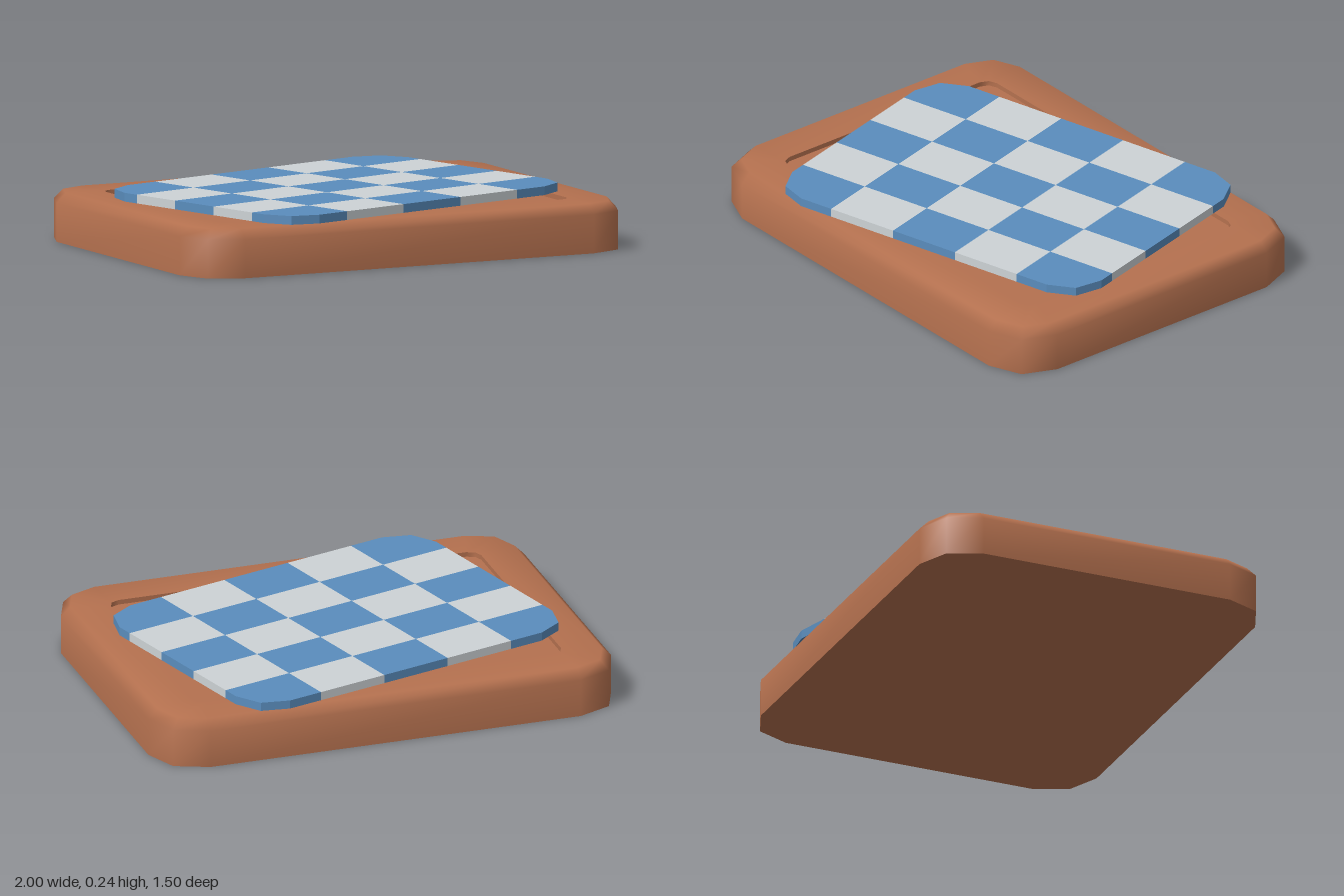
import * as THREE from 'three';
import { mergeGeometries } from 'three/addons/utils/BufferGeometryUtils.js';

// Rounded rectangle loop at height y, two facets per corner
function loop(hx, hz, r, y) {
  const pts = [];
  for (let c = 0; c < 4; c++) {
    const sx = c === 0 || c === 3 ? 1 : -1;
    const sz = c < 2 ? 1 : -1;
    for (let k = 0; k <= 2; k++) {
      const a = (c + k / 2) * Math.PI / 2;
      pts.push([sx * (hx - r) + r * Math.cos(a), y, sz * (hz - r) + r * Math.sin(a)]);
    }
  }
  return pts;
}

// Smooth skin through a series of loops
function skin(loops) {
  const n = loops[0].length, index = [];
  for (let j = 0; j < loops.length - 1; j++) {
    for (let i = 0; i < n; i++) {
      const a = j * n + i, b = j * n + (i + 1) % n;
      index.push(a, a + n, b, b, a + n, b + n);
    }
  }
  const g = new THREE.BufferGeometry();
  g.setAttribute('position', new THREE.Float32BufferAttribute(loops.flat(2), 3));
  g.setIndex(index);
  g.computeVertexNormals();
  return g;
}

export function createModel() {
  const model = new THREE.Group();
  const clay = new THREE.MeshStandardMaterial({ name: 'terracotta', color: 0xb5714f });
  const blue = new THREE.MeshStandardMaterial({ name: 'clothBlue', color: 0x5a8dbd });
  const pale = new THREE.MeshStandardMaterial({ name: 'clothPale', color: 0xcdd3d6 });
  const add = (parent, name, geometry, material) => {
    const mesh = new THREE.Mesh(geometry, material);
    mesh.name = name;
    parent.add(mesh);
  };

  // Tray: softened rim, shallow recess and flat base
  const tray = new THREE.Group();
  tray.name = 'tray';
  model.add(tray);
  const floorY = 0.18;
  const base = loop(1, 0.75, 0.2, 0);
  const lip = loop(0.8, 0.55, 0.05, 0.2);
  const floorEdge = loop(0.8, 0.55, 0.05, floorY);
  add(tray, 'rim', skin([base, loop(1, 0.75, 0.2, 0.16), loop(0.96, 0.71, 0.16, 0.2), lip]), clay);
  add(tray, 'recessWall', skin([lip, floorEdge]), clay);
  add(tray, 'recessFloor', skin([floorEdge, loop(0, 0, 0, floorY)]), clay);
  add(tray, 'underside', skin([loop(0, 0, 0, 0), base]), clay);

  // Checked cloth laid askew on the rim
  const cloth = new THREE.Group();
  cloth.name = 'cloth';
  cloth.rotation.y = Math.PI / 12;
  model.add(cloth);
  const hx = 0.78, hz = 0.585, n = 5, r = 0.16;
  const cells = [[], []];
  for (let i = 0; i < n; i++) {
    for (let j = 0; j < n; j++) {
      const x0 = -hx + i * 2 * hx / n, x1 = x0 + 2 * hx / n;
      const y0 = -hz + j * 2 * hz / n, y1 = y0 + 2 * hz / n;
      const corners = [[x0, y0], [x1, y0], [x1, y1], [x0, y1]];
      const points = [];
      corners.forEach(([x, y], c) => {
        const outer = Math.abs(x) > hx - 0.01 && Math.abs(y) > hz - 0.01;
        if (!outer) {
          points.push(new THREE.Vector2(x, y));
          return;
        }
        // Rounded outer corner
        for (let k = 0; k <= 2; k++) {
          const a = Math.PI + (c + k / 2) * Math.PI / 2;
          points.push(new THREE.Vector2(
            x - Math.sign(x) * r + r * Math.cos(a),
            y - Math.sign(y) * r + r * Math.sin(a)));
        }
      });
      const g = new THREE.ExtrudeGeometry(new THREE.Shape(points), { depth: 0.036, bevelEnabled: false });
      g.rotateX(-Math.PI / 2).translate(0, 0.2005, 0);
      cells[(i + j) % 2].push(g);
    }
  }
  add(cloth, 'blueChecks', mergeGeometries(cells[0]), blue);
  add(cloth, 'paleChecks', mergeGeometries(cells[1]), pale);

  return model;
}
